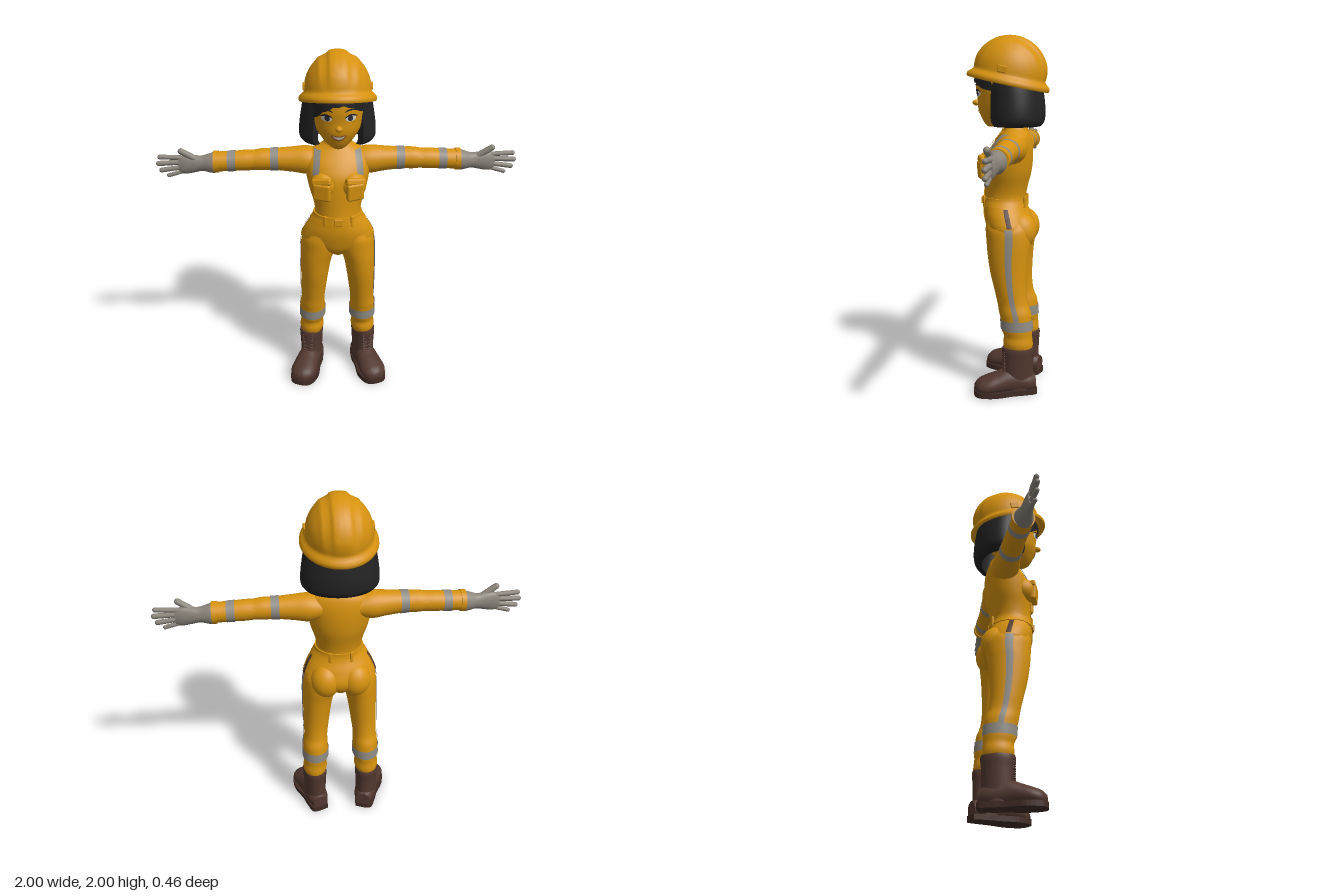
import * as THREE from 'three';
import { toCreasedNormals } from 'three/addons/utils/BufferGeometryUtils.js';
import { RoundedBoxGeometry } from 'three/addons/geometries/RoundedBoxGeometry.js';

const mat = (name, color, side = THREE.FrontSide) => {
  const m = new THREE.MeshStandardMaterial({ color, side });
  m.name = name;
  return m;
};
const ORANGE = mat('orange', 0xd6920f, THREE.DoubleSide);
const STRIPE = mat('reflective grey', 0x8f8b84, THREE.DoubleSide);
const GLOVE = mat('glove grey', 0x8b857b);
const BOOT = mat('boot brown', 0x52382f, THREE.DoubleSide);
const SOLE = mat('sole brown', 0x412b25);
const HAIR = mat('hair black', 0x232324, THREE.DoubleSide);
const WHITE = mat('white', 0xd9d6d0);
const IRIS = mat('iris', 0x2b2e3c);
const LIP = mat('lip', 0x9c5a1c);

// Cross-section keys: [position along axis, centre a, centre b, radius a, radius b]
const TORSO = [[0.84, 0, -0.02, 0.04, 0.08], [0.88, 0, -0.02, 0.14, 0.12], [0.93, 0, -0.018, 0.203, 0.137],
  [1.0, 0, 0, 0.187, 0.135], [1.06, 0, 0.015, 0.152, 0.122], [1.1, 0, 0.018, 0.13, 0.117], [1.16, 0, 0.012, 0.134, 0.12],
  [1.25, 0, 0, 0.16, 0.13], [1.33, 0, -0.008, 0.175, 0.13], [1.4, 0, -0.025, 0.18, 0.11], [1.45, 0, -0.04, 0.15, 0.085],
  [1.48, 0, -0.043, 0.095, 0.068], [1.52, 0, -0.035, 0.052, 0.052], [1.58, 0, -0.02, 0.05, 0.05]];
const LEG = [[0.255, 0.157, -0.08, 0.06, 0.075], [0.275, 0.157, -0.08, 0.068, 0.082], [0.3, 0.156, -0.078, 0.072, 0.084],
  [0.335, 0.155, -0.078, 0.067, 0.08], [0.37, 0.152, -0.072, 0.074, 0.087], [0.43, 0.15, -0.067, 0.074, 0.088],
  [0.47, 0.15, -0.06, 0.073, 0.09], [0.52, 0.146, -0.046, 0.069, 0.085], [0.6, 0.141, -0.032, 0.074, 0.09],
  [0.7, 0.134, -0.021, 0.081, 0.104], [0.8, 0.124, -0.017, 0.091, 0.116], [0.87, 0.109, -0.018, 0.104, 0.125],
  [0.94, 0.1, -0.015, 0.104, 0.128], [0.98, 0.09, -0.01, 0.09, 0.12]];
const ARM = [[0.1, 1.39, -0.045, 0.062, 0.075], [0.17, 1.387, -0.045, 0.078, 0.08], [0.25, 1.39, -0.045, 0.07, 0.07],
  [0.35, 1.392, -0.045, 0.061, 0.061], [0.42, 1.391, -0.045, 0.061, 0.06], [0.46, 1.389, -0.045, 0.056, 0.057],
  [0.5, 1.387, -0.045, 0.058, 0.058], [0.58, 1.384, -0.045, 0.055, 0.056], [0.68, 1.38, -0.045, 0.056, 0.056]];
const HAND = [[0.665, 1.376, -0.045, 0.05, 0.047], [0.675, 1.376, -0.045, 0.059, 0.052], [0.7, 1.374, -0.045, 0.055, 0.048],
  [0.745, 1.372, -0.045, 0.044, 0.035], [0.79, 1.37, -0.045, 0.05, 0.029], [0.84, 1.367, -0.045, 0.055, 0.024], [0.875, 1.365, -0.045, 0.047, 0.016]];
const HEAD = [[1.5, 0, 0.085, 0.025, 0.028], [1.515, 0, 0.075, 0.05, 0.055], [1.55, 0, 0.05, 0.085, 0.1], [1.6, 0, 0.035, 0.118, 0.133],
  [1.66, 0, 0.03, 0.132, 0.142], [1.72, 0, 0.03, 0.138, 0.15], [1.78, 0, 0.025, 0.138, 0.15], [1.84, 0, 0.01, 0.11, 0.12]];
const BOB = [[1.505, 0, -0.045, 0.188, 0.138], [1.53, 0, -0.045, 0.206, 0.155], [1.58, 0, -0.045, 0.208, 0.161],
  [1.66, 0, -0.042, 0.198, 0.158], [1.74, 0, -0.035, 0.182, 0.15], [1.82, 0, -0.02, 0.15, 0.13]];

// Smooth interpolation of the keys at t
function at(keys, t) {
  let i = 0;
  while (i < keys.length - 2 && t > keys[i + 1][0]) i++;
  const k = j => keys[Math.min(Math.max(j, 0), keys.length - 1)];
  const slope = (j, c) => (k(j + 1)[c] - k(j - 1)[c]) / (k(j + 1)[0] - k(j - 1)[0]);
  const h = k(i + 1)[0] - k(i)[0], s = Math.min(Math.max((t - k(i)[0]) / h, 0), 1), s2 = s * s, s3 = s2 * s;
  return [1, 2, 3, 4].map(c => k(i)[c] * (2 * s3 - 3 * s2 + 1) + k(i + 1)[c] * (3 * s2 - 2 * s3)
    + h * slope(i, c) * (s3 - 2 * s2 + s) + h * slope(i + 1, c) * (s3 - s2));
}

// Surface through the cross-sections; t0..t1 and a0..a1 (degrees) cut a band or strip, wall makes a C-shaped shell
function loft(keys, axis, { t0 = keys[0][0], t1 = keys.at(-1)[0], a0 = 0, a1 = 360, grow = 0, n = 32, steps = 40, cap = false, wall = 0 } = {}) {
  const closed = a1 - a0 === 360 || wall > 0, ring = [];
  const count = a1 - a0 === 360 ? n : n + 1;
  for (let i = 0; i < count; i++) ring.push([a0 + (a1 - a0) * i / n, 1]);
  if (wall) for (let i = n; i >= 0; i--) ring.push([a0 + (a1 - a0) * i / n, 1 - wall]);
  const core = wall ? 1 - wall / 2 : 0, rows = [];
  for (let j = 0; j <= steps; j++) rows.push([t0 + (t1 - t0) * j / steps, 1]);
  if (cap) { rows.unshift([t0, 0]); rows.push([t1, 0]); }
  const pos = [], idx = [], m = ring.length;
  for (const [t, f] of rows) {
    const [ca, cb, ra, rb] = at(keys, t);
    for (const [deg, s] of ring) {
      const k = core + (s - core) * f, c = Math.cos(deg * Math.PI / 180) * k, d = Math.sin(deg * Math.PI / 180) * k;
      if (axis === 'y') pos.push(ca + (ra + grow) * d, t, cb + (rb + grow) * c);
      else if (axis === 'x') pos.push(t, ca + (ra + grow) * c, cb + (rb + grow) * d);
      else pos.push(ca + (ra + grow) * c, cb + (rb + grow) * d, t);
    }
  }
  for (let j = 0; j < rows.length - 1; j++) for (let i = 0; i < (closed ? m : m - 1); i++) {
    const a = j * m + i, b = j * m + (i + 1) % m;
    idx.push(a, b, b + m, a, b + m, a + m);
  }
  const g = new THREE.BufferGeometry();
  g.setAttribute('position', new THREE.Float32BufferAttribute(pos, 3));
  g.setIndex(idx);
  g.computeVertexNormals();
  return cap ? toCreasedNormals(g, 1) : g;
}

// Thin plate laid on the front of a lofted body; rule maps u,v (0..1) to x,y
function patch(keys, rule, off = 0.004, n = 14) {
  const g = new THREE.PlaneGeometry(1, 1, n, n), p = g.attributes.position;
  for (let i = 0; i < p.count; i++) {
    const [x, y] = rule(p.getX(i) + 0.5, p.getY(i) + 0.5), [cx, cz, rx, rz] = at(keys, y);
    p.setXYZ(i, x, y, cz + rz * Math.sqrt(Math.max(0, 1 - ((x - cx) / rx) ** 2)) + off);
  }
  g.computeVertexNormals();
  return g;
}
const lens = (x, y, w, h, bend = 0, tilt = 0) => (u, v) => {
  const s = 2 * u - 1;
  return [x + s * w / 2, y + (v - 0.5) * h * Math.sqrt(Math.max(0, 1 - s * s)) + bend * s * s + tilt * s];
};
const quad = (bl, br, tr, tl) => (u, v) => [0, 1].map(c =>
  (bl[c] * (1 - u) + br[c] * u) * (1 - v) + (tl[c] * (1 - u) + tr[c] * u) * v);

function add(parent, name, geo, material, pos = [0, 0, 0], rot = [0, 0, 0], scale = [1, 1, 1]) {
  const m = new THREE.Mesh(geo, material);
  m.name = name;
  m.position.set(...pos); m.rotation.set(...rot); m.scale.set(...scale);
  parent.add(m);
  return m;
}
function capsule(parent, name, a, b, r, material) {
  const A = new THREE.Vector3(...a), d = new THREE.Vector3(...b).sub(A), len = d.length();
  const m = add(parent, name, new THREE.CapsuleGeometry(r, len, 6, 12), material);
  m.position.copy(A).addScaledVector(d, 0.5);
  m.quaternion.setFromUnitVectors(new THREE.Vector3(0, 1, 0), d.normalize());
}
// Mirrored copy with corner order kept facing outward
function mirror(src, name) {
  const out = new THREE.Group();
  out.name = name;
  src.updateMatrixWorld(true);
  src.traverse(o => {
    if (!o.isMesh) return;
    const g = o.geometry.clone().applyMatrix4(o.matrixWorld).scale(-1, 1, 1);
    const ix = g.index ? Array.from(g.index.array) : Array.from({ length: g.attributes.position.count }, (_, i) => i);
    for (let i = 0; i < ix.length; i += 3) [ix[i], ix[i + 1]] = [ix[i + 1], ix[i]];
    g.setIndex(ix);
    add(out, o.name, g, o.material);
  });
  return out;
}

function buildSide() {
  const g = new THREE.Group();
  g.name = 'leftSide';
  // Arm, sleeve bands and glove
  add(g, 'sleeve', loft(ARM, 'x', { cap: true }), ORANGE);
  for (const x of [0.325, 0.56]) add(g, 'sleeveBand', loft(ARM, 'x', { t0: x, t1: x + 0.045, grow: 0.003, steps: 6 }), STRIPE);
  add(g, 'sleeveCuff', loft(ARM, 'x', { t0: 0.655, t1: 0.682, grow: 0.005, steps: 4, cap: true }), ORANGE);
  add(g, 'glove', loft(HAND, 'x', { cap: true }), GLOVE);
  for (const [y0, x1, y1, r] of [[1.405, 0.975, 1.412, 0.0135], [1.38, 0.985, 1.374, 0.0145], [1.352, 0.972, 1.335, 0.0135], [1.328, 0.935, 1.304, 0.0115]])
    capsule(g, 'finger', [0.85, y0, -0.045], [x1, y1, -0.043], r, GLOVE);
  capsule(g, 'thumb', [0.765, 1.39, -0.04], [0.855, 1.448, -0.03], 0.017, GLOVE);
  // Trouser leg
  add(g, 'trouserLeg', loft(LEG, 'y', { cap: true, steps: 60 }), ORANGE);
  add(g, 'calfBand', loft(LEG, 'y', { t0: 0.375, t1: 0.432, grow: 0.004, steps: 6 }), STRIPE);
  add(g, 'sideStripe', loft(LEG, 'y', { t0: 0.43, t1: 0.95, a0: 87, a1: 106, grow: 0.005, n: 4 }), STRIPE);
  add(g, 'pocketSlit', loft(TORSO, 'y', { t0: 0.955, t1: 1.055, a0: 94, a1: 105, grow: 0.006, n: 4, steps: 10 }), BOOT);
  add(g, 'pocketSeam', loft(TORSO, 'y', { t0: 0.95, t1: 1.06, a0: 50, a1: 92, grow: 0.005, n: 8, steps: 10 }), ORANGE);
  add(g, 'seat', new THREE.SphereGeometry(0.09, 24, 16), ORANGE, [0.085, 0.925, -0.08], [0, 0, 0], [1, 1.15, 1]);
  // Chest, pocket, strap and collar flap
  add(g, 'chest', new THREE.SphereGeometry(0.075, 24, 16), ORANGE, [0.08, 1.285, 0.075]);
  add(g, 'chestPocket', new RoundedBoxGeometry(0.1, 0.1, 0.035, 3, 0.014), ORANGE, [0.09, 1.265, 0.138], [0.08, 0.35, 0]);
  add(g, 'pocketFlap', new RoundedBoxGeometry(0.11, 0.038, 0.04, 3, 0.012), ORANGE, [0.09, 1.322, 0.132], [-0.2, 0.35, -0.05]);
  add(g, 'shoulderStrap', patch(TORSO, quad([0.105, 1.34], [0.14, 1.34], [0.128, 1.463], [0.092, 1.463]), 0.008), STRIPE);
  add(g, 'collarFlap', patch(TORSO, quad([0.012, 1.435], [0.062, 1.4], [0.082, 1.475], [0.034, 1.5]), 0.013), ORANGE);
  add(g, 'beltLoop', new RoundedBoxGeometry(0.018, 0.062, 0.014, 2, 0.004), ORANGE, [0.075, 1.085, 0.125], [0, 0.5, 0]);
  add(g, 'beltLoop', new RoundedBoxGeometry(0.018, 0.062, 0.014, 2, 0.004), ORANGE, [0.06, 1.085, -0.1], [0, -0.4, 0]);
  // Boot
  const boot = new THREE.Group();
  boot.name = 'boot';
  boot.position.set(0.16, 0, -0.08);
  boot.rotation.y = 0.3;
  g.add(boot);
  add(boot, 'bootShaft', loft([[0.02, 0, 0, 0.06, 0.088], [0.1, 0, 0, 0.062, 0.086], [0.2, 0, 0, 0.066, 0.087], [0.255, 0, 0, 0.069, 0.092], [0.272, 0, 0, 0.066, 0.089]], 'y', { cap: true }), BOOT);
  add(boot, 'bootFoot', loft([[-0.096, 0, 0.06, 0.045, 0.045], [-0.05, 0, 0.065, 0.062, 0.06], [0.05, 0, 0.075, 0.066, 0.075],
    [0.12, 0, 0.066, 0.073, 0.062], [0.18, 0, 0.055, 0.077, 0.052], [0.225, 0, 0.046, 0.06, 0.042], [0.247, 0, 0.04, 0.03, 0.025]], 'z', { cap: true }), BOOT);
  const outline = new THREE.SplineCurve([[-0.045, -0.1], [0.045, -0.1], [0.062, -0.03], [0.066, 0.04], [0.083, 0.15], [0.05, 0.242],
    [-0.05, 0.242], [-0.083, 0.15], [-0.066, 0.04], [-0.062, -0.03], [-0.045, -0.1]].map(p => new THREE.Vector2(...p)));
  add(boot, 'bootSole', new THREE.ExtrudeGeometry(new THREE.Shape(outline.getPoints(50)), { depth: 0.03, bevelEnabled: false }), SOLE, [0, 0.03, 0], [Math.PI / 2, 0, 0]);
  for (let i = 0; i < 5; i++)
    for (const s of [-1, 1]) capsule(boot, 'lace', [-0.028 * s, 0.135 + i * 0.025, 0.082], [0.028 * s, 0.15 + i * 0.025, 0.082], 0.006, BOOT);
  // Eye and brow
  add(g, 'eyeWhite', patch(HEAD, lens(0.062, 1.684, 0.058, 0.034), 0.002), WHITE);
  add(g, 'iris', patch(HEAD, lens(0.06, 1.685, 0.028, 0.031), 0.004), IRIS);
  add(g, 'upperLash', patch(HEAD, lens(0.064, 1.703, 0.068, 0.009, -0.014, 0.002), 0.005), HAIR);
  add(g, 'brow', patch(HEAD, lens(0.064, 1.732, 0.07, 0.009, -0.011, 0.002), 0.004), HAIR);
  add(g, 'ear', new THREE.SphereGeometry(0.025, 14, 10), ORANGE, [0.132, 1.65, 0.015], [0, 0, 0], [0.5, 1.2, 0.8]);
  return g;
}

function buildHelmet() {
  const g = new THREE.Group();
  g.name = 'helmet';
  g.position.set(0, 1.755, 0);
  g.rotation.x = -0.21;
  // Inner shell, brim, then outer dome
  const profile = [[0, 0.2], [0.5, 0.17], [0.8, 0.06], [0.84, 0], [0.94, -0.012], [0.99, -0.022], [1.01, -0.014], [1.0, 0.002], [0.94, 0.014], [0.885, 0.026]];
  for (let i = 0; i <= 24; i++) {
    const t = i / 24 * Math.PI / 2;
    profile.push([0.87 * Math.cos(t), 0.034 + 0.2 * Math.sin(t)]);
  }
  const geo = new THREE.LatheGeometry(profile.map(p => new THREE.Vector2(Math.max(p[0], 0), p[1])), 96);
  geo.scale(0.205, 1, 0.232);
  // Raised centre ridge and two side ribs running front to back
  const p = geo.attributes.position, rows = profile.length;
  for (let i = 0; i < p.count; i++) {
    if (i % rows < 10) continue;
    const x = Math.abs(p.getX(i)), rise = Math.min(1, Math.max(0, (p.getY(i) - 0.03) / 0.07));
    const bump = 0.045 * (1 - THREE.MathUtils.smoothstep(x, 0.042, 0.062)) + 0.025 * Math.exp(-(((x - 0.1) / 0.012) ** 2));
    const k = 1 + bump * rise;
    p.setXYZ(i, p.getX(i), p.getY(i) * k, p.getZ(i) * k);
  }
  add(g, 'helmetShell', toCreasedNormals(geo, 0.9), ORANGE);
  for (const s of [-1, 1]) add(g, 'helmetClip', new RoundedBoxGeometry(0.02, 0.04, 0.05, 2, 0.006), ORANGE, [s * 0.174, 0.055, 0.02]);
  return g;
}

export function createModel() {
  const model = new THREE.Group();
  model.name = 'worker';
  model.rotation.y = 0.05;
  const left = buildSide();
  model.add(mirror(left, 'rightSide'), left);

  // Torso, belt and fly
  add(model, 'torso', loft(TORSO, 'y', { steps: 70, n: 40, cap: true }), ORANGE);
  add(model, 'belt', loft(TORSO, 'y', { t0: 1.062, t1: 1.108, grow: 0.008, steps: 6, cap: true }), ORANGE);
  add(model, 'buckle', new RoundedBoxGeometry(0.05, 0.04, 0.014, 2, 0.005), ORANGE, [0, 1.085, 0.146]);
  add(model, 'fly', patch(TORSO, quad([-0.014, 0.93], [0.01, 0.93], [0.018, 1.06], [-0.014, 1.06]), 0.006), ORANGE);
  add(model, 'frontPlacket', patch(TORSO, quad([-0.013, 1.11], [0.013, 1.11], [0.013, 1.43], [-0.013, 1.43]), 0.005), ORANGE);
  add(model, 'collar', loft([[1.45, 0, -0.043, 0.1, 0.078], [1.48, 0, -0.043, 0.085, 0.07], [1.512, 0, -0.043, 0.07, 0.062]], 'y',
    { a0: 28, a1: 332, wall: 0.12, steps: 8, cap: true }), ORANGE);

  // Head and face
  add(model, 'head', loft(HEAD, 'y', { cap: true, n: 40 }), ORANGE);
  add(model, 'nose', new THREE.SphereGeometry(0.018, 16, 12), ORANGE, [0, 1.632, 0.182], [0, 0, 0], [1.05, 0.9, 1.2]);
  add(model, 'lips', patch(HEAD, lens(0, 1.574, 0.084, 0.03, 0.018), 0.003), LIP);
  add(model, 'teeth', patch(HEAD, lens(0, 1.576, 0.066, 0.014, 0.013), 0.005), WHITE);

  // Bobbed hair and fringe
  add(model, 'bob', loft(BOB, 'y', { a0: 40, a1: 320, wall: 0.2, n: 40, cap: true }), HAIR);
  add(model, 'fringe', patch(HEAD, (u, v) => {
    const x = (u - 0.5) * 0.272, low = 1.757 - 4.2 * (x - 0.015) ** 2 - 0.008 * Math.abs(Math.sin(u * 16));
    return [x, low + (1.81 - low) * v];
  }, 0.01, 30), HAIR);
  model.add(buildHelmet());
  return model;
}
